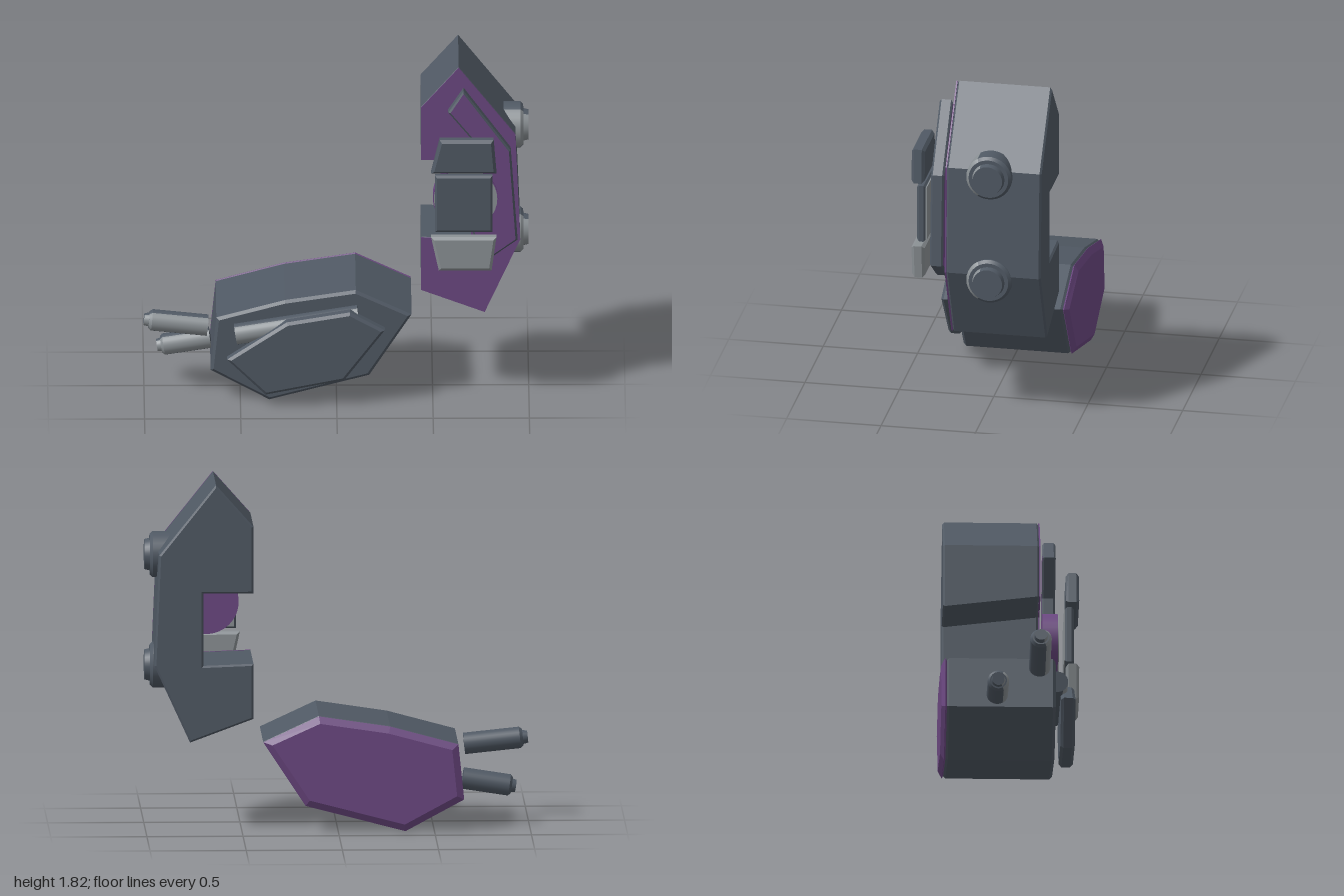
import * as THREE from 'three';

const mat = (name, color, extra) => Object.assign(new THREE.MeshStandardMaterial({ color }), { name });

export function createModel() {
  const model = new THREE.Group();
  const slate = mat('slate', 0x505964);
  const purple = mat('purple', 0x6c4882);
  const steel = mat('steel', 0x8b9195);

  // Bevelled slab: an outline in x/y, filling z0..z1; bevel stays inside the outline
  function slab(name, pts, z0, z1, material, bevel = 0.012, width = bevel) {
    const shape = new THREE.Shape(pts.map(p => new THREE.Vector2(...p)));
    const geo = new THREE.ExtrudeGeometry(shape, {
      depth: z1 - z0 - 2 * bevel, bevelEnabled: bevel > 0, bevelThickness: bevel,
      bevelSize: width, bevelOffset: -width, bevelSegments: 1, steps: 1
    });
    geo.translate(0, 0, z0 + bevel);
    const mesh = new THREE.Mesh(geo, material);
    mesh.name = name;
    model.add(mesh);
    return mesh;
  }

  // Round rod from a to b; its front strip is steel, the rest slate
  function rod(name, a, b, r0, r1 = r0, parent = model) {
    const start = new THREE.Vector3(...a), end = new THREE.Vector3(...b);
    const dir = end.clone().sub(start), len = dir.length();
    const g = new THREE.Group();
    g.name = name;
    const third = Math.PI / 3;
    [[-third, 2 * third, steel, 10], [third, 4 * third, slate, 20]].forEach(([from, arc, side, n]) => {
      const geo = new THREE.CylinderGeometry(r1, r0, len, n, 1, false, from, arc);
      g.add(new THREE.Mesh(geo, [side, slate, slate]));
    });
    g.position.copy(start).add(end).multiplyScalar(0.5);
    g.quaternion.setFromUnitVectors(new THREE.Vector3(0, 1, 0), dir.normalize());
    parent.add(g);
    return g;
  }

  // Lower pod with a chamfered purple back
  const pod = [[-0.655, 0.165], [-0.625, 0.455], [-0.27, 0.55], [0.1, 0.605], [0.39, 0.47], [0.17, 0.135], [-0.35, 0]];
  slab('lowerPod', pod, -0.345, 0.225, slate, 0.015);
  slab('lowerPodBack', pod, -0.37, -0.328, purple, 0.02, 0.035);

  // Pod front: side tube and armour plate
  rod('sideTube', [-0.525, 0.372, 0.237], [0.115, 0.475, 0.237], 0.055);
  slab('podArmourPlate', [[-0.57, 0.26], [-0.26, 0.465], [0.07, 0.52], [0.25, 0.42], [0.04, 0.145], [-0.37, 0.065]],
    0.255, 0.33, slate, 0.015);

  // Two barrels with chamfered ends and narrow tips
  const barrels = [
    ['upperBarrel', [-0.67, 0.386], [-0.975, 0.418], 0.14],
    ['lowerBarrel', [-0.655, 0.238], [-0.91, 0.198], 0.0 - 0.08]
  ];
  for (const [name, a, b, z] of barrels) {
    const at = t => [a[0] + (b[0] - a[0]) * t, a[1] + (b[1] - a[1]) * t, z];
    rod(name, at(0), at(0.95), 0.056);
    rod(name + 'Chamfer', at(0.95), at(1), 0.056, 0.044);
    rod(name + 'Tip', at(1), at(1.085), 0.036, 0.032);
  }

  // Upright bracket, C-shaped, open towards -x
  const bracket = notchTop => [[0.44, 1.6], [0.635, 1.82], [0.93, 1.45], [0.955, 0.87], [0.77, 0.467],
    [0.44, 0.59], [0.44, 0.88], [0.7, 0.87], [0.7, notchTop], [0.44, notchTop]];
  const frame = slab('bracket', bracket(1.25), -0.335, 0.166, slate, 0.01);

  // The roof of the notch rises towards the front
  const pos = frame.geometry.attributes.position;
  for (let i = 0; i < pos.count; i++) {
    if (pos.getZ(i) > 0 && pos.getX(i) < 0.75 && Math.abs(pos.getY(i) - 1.25) < 0.04) pos.setY(i, pos.getY(i) + 0.06);
  }
  frame.geometry.computeVertexNormals();
  slab('bracketFace', bracket(1.31), 0.165, 0.172, purple, 0);

  // Raised crescent with a purple face
  const crescent = [[0.58, 1.6], [0.66, 1.72], [0.905, 1.39], [0.94, 0.895], [0.78, 0.78], [0.7, 0.95], [0.72, 1.43]];
  slab('crescent', crescent, 0.185, 0.255, [purple, slate], 0.01);

  // Round boss under the centre plate
  [['boss', 0.17, 0.08, 0.225, purple], ['bossFace', 0.165, 0.006, 0.267, steel]].forEach(([name, r, h, z, m]) => {
    const disc = new THREE.Mesh(new THREE.CylinderGeometry(r, r, h, 32), m);
    disc.name = name;
    disc.rotation.x = Math.PI / 2;
    disc.position.set(0.67, 1.13, z);
    model.add(disc);
  });

  // Stack of three front plates
  slab('topPlate', [[0.535, 1.49], [0.815, 1.49], [0.83, 1.305], [0.49, 1.305]], 0.305, 0.375, slate, 0.015);
  slab('middlePlate', [[0.51, 0.972], [0.51, 1.285], [0.81, 1.285], [0.81, 0.972]], 0.3, 0.348, slate);
  slab('middlePlateBack', [[0.52, 0.982], [0.52, 1.275], [0.8, 1.275], [0.8, 0.982]], 0.296, 0.302, steel, 0);
  slab('bottomPlate', [[0.49, 0.952], [0.83, 0.952], [0.805, 0.768], [0.53, 0.768]], 0.305, 0.375, steel, 0.015);

  // Side bolts
  for (const y of [1.42, 0.84]) {
    const bolt = new THREE.Group();
    bolt.name = y > 1 ? 'upperBolt' : 'lowerBolt';
    rod('boltBase', [0.87, y, -0.063], [0.957, y, -0.063], 0.12, 0.12, bolt);
    rod('boltChamfer', [0.957, y, -0.063], [0.972, y, -0.063], 0.12, 0.105, bolt);
    rod('boltHead', [0.972, y, -0.063], [1, y, -0.063], 0.085, 0.078, bolt);
    model.add(bolt);
  }
  return model;
}
